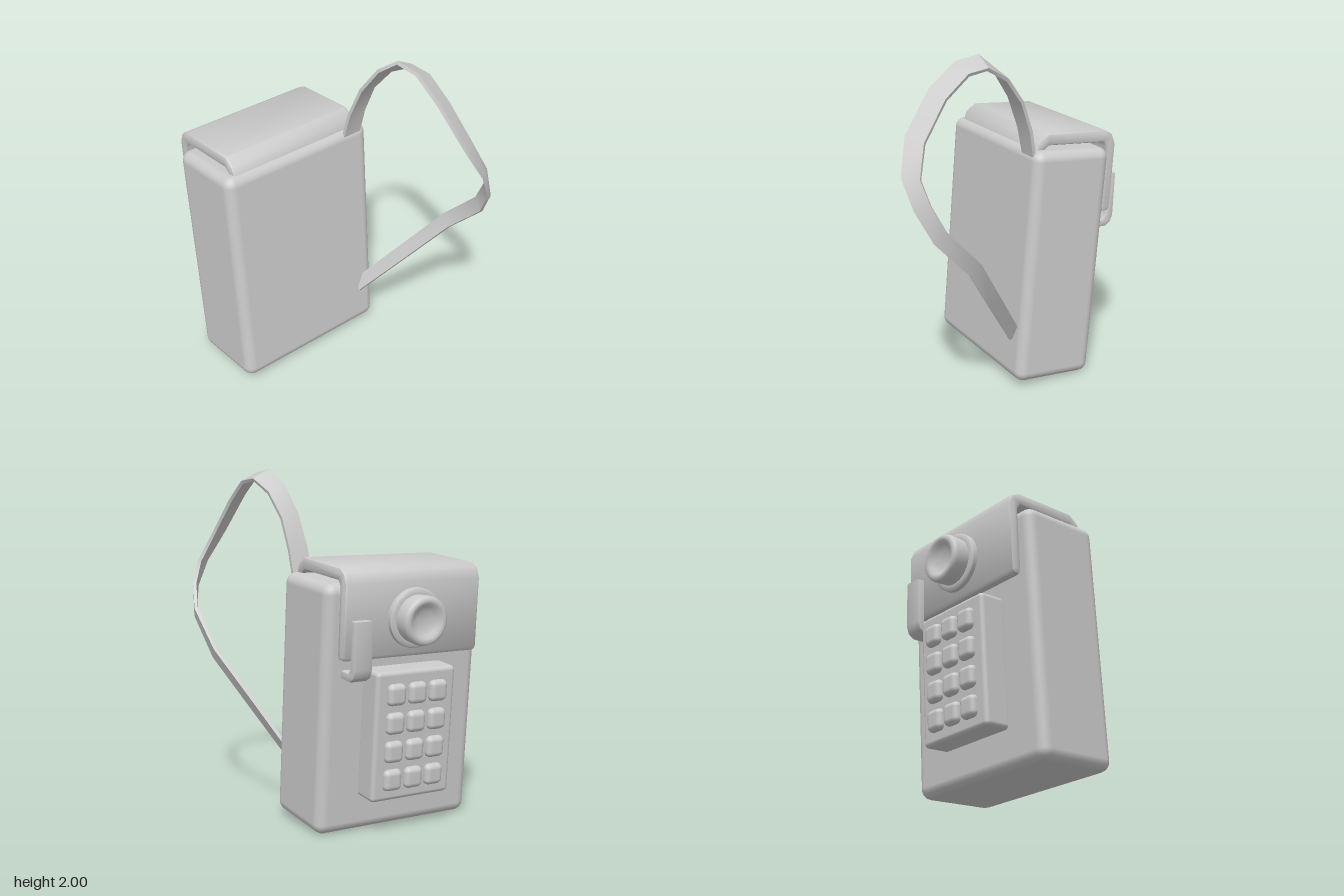
import * as THREE from 'three';
import { RoundedBoxGeometry } from 'three/addons/geometries/RoundedBoxGeometry.js';
import { toCreasedNormals } from 'three/addons/utils/BufferGeometryUtils.js';

const grey = new THREE.MeshStandardMaterial({ color: 0xcccccc, side: THREE.DoubleSide });

function add(parent, name, geometry, x = 0, y = 0, z = 0) {
  const mesh = new THREE.Mesh(geometry, grey);
  mesh.name = name;
  mesh.position.set(x, y, z);
  parent.add(mesh);
  return mesh;
}

// Side profile of [z, y] points, extruded across x with softened ends
function sideExtrude(points, width, bevel) {
  const shape = new THREE.Shape(points.map(([z, y]) => new THREE.Vector2(z, y)));
  const geo = new THREE.ExtrudeGeometry(shape, {
    depth: width - 2 * bevel, bevelThickness: bevel, bevelSize: bevel,
    bevelOffset: -bevel, bevelSegments: 2,
  });
  geo.translate(0, 0, -(width / 2 - bevel));
  geo.rotateY(-Math.PI / 2);
  return toCreasedNormals(geo, 0.75);
}

// Flat band through stations of [centre, width vector]
function band(stations, thickness) {
  const centres = stations.map(([c]) => new THREE.Vector3(...c));
  const rings = stations.map(([, w], i) => {
    const c = centres[i];
    const half = new THREE.Vector3(...w).multiplyScalar(0.5);
    const next = centres[Math.min(i + 1, centres.length - 1)];
    const tangent = next.clone().sub(centres[Math.max(i - 1, 0)]);
    const n = tangent.cross(half).setLength(thickness / 2);
    return [[1, 1], [-1, 1], [-1, -1], [1, -1]].map(([a, b]) =>
      c.clone().addScaledVector(half, a).addScaledVector(n, b));
  });
  const pos = [];
  const quad = (a, b, c, d) => [a, b, c, a, c, d].forEach((p) => pos.push(p.x, p.y, p.z));
  for (let i = 0; i + 1 < rings.length; i++) {
    for (let k = 0; k < 4; k++) {
      const m = (k + 1) % 4;
      quad(rings[i][k], rings[i][m], rings[i + 1][m], rings[i + 1][k]);
    }
  }
  const [s, e] = [rings[0], rings[rings.length - 1]];
  quad(s[3], s[2], s[1], s[0]);
  quad(e[0], e[1], e[2], e[3]);
  const geo = new THREE.BufferGeometry();
  geo.setAttribute('position', new THREE.Float32BufferAttribute(pos, 3));
  return toCreasedNormals(geo, 0.5);
}

export function createModel() {
  const model = new THREE.Group();
  model.name = 'handheldKeypadDevice';

  // Case and everything fixed to it lean backward
  const unit = new THREE.Group();
  unit.name = 'leaningUnit';
  unit.position.set(-0.125, 0.713, -0.28);
  unit.rotation.x = -0.08;
  model.add(unit);

  add(unit, 'case', new RoundedBoxGeometry(1, 1.4, 0.5, 3, 0.06));

  // Folded cover over the top and upper back
  add(unit, 'coverFlap', sideExtrude([
    [0.215, 0.69], [0.2, 0.745], [0.144, 0.79], [-0.25, 0.79], [-0.3, 0.765], [-0.325, 0.71],
    [-0.33, 0.32], [-0.315, 0.3], [-0.28, 0.3], [-0.265, 0.32], [-0.262, 0.69], [-0.24, 0.72],
    [0.13, 0.72], [0.18, 0.68],
  ], 0.87, 0.018));

  // Keypad block with a 3 x 4 grid of keys
  const keypad = new THREE.Group();
  keypad.name = 'keypad';
  unit.add(keypad);
  add(keypad, 'keypadPanel', new RoundedBoxGeometry(0.51, 0.73, 0.165, 2, 0.025), 0, -0.125, -0.3125);
  const keyGeo = new RoundedBoxGeometry(0.112, 0.12, 0.07, 3, 0.03);
  for (let row = 0; row < 4; row++) {
    for (let col = -1; col <= 1; col++) {
      add(keypad, 'key', keyGeo, col * 0.134, 0.113 - row * 0.16, -0.395);
    }
  }

  // Round dial with a flange and a dished face
  const dialProfile = [
    [0, 0], [0.165, 0], [0.165, 0.028], [0.155, 0.036], [0.132, 0.036], [0.136, 0.11],
    [0.13, 0.128], [0.115, 0.136], [0.098, 0.132], [0.08, 0.118], [0.05, 0.106], [0, 0.102],
  ].map(([r, h]) => new THREE.Vector2(r, h));
  const dialGeo = new THREE.LatheGeometry(dialProfile, 32);
  dialGeo.rotateX(-Math.PI / 2);
  add(unit, 'dial', toCreasedNormals(dialGeo, 0.8), 0, 0.514, -0.325);

  // Hooked clip beside the keypad
  add(unit, 'clip', sideExtrude([
    [-0.335, 0.52], [-0.378, 0.52], [-0.388, 0.26], [-0.375, 0.215], [-0.34, 0.19],
    [-0.245, 0.19], [-0.245, 0.235], [-0.32, 0.235], [-0.342, 0.27],
  ], 0.11, 0.008), 0.34, 0, 0);

  // Twisting carrying strap from the top edge to the lower front
  add(model, 'strap', band([
    [[0.26, 1.39, -0.1], [0.12, 0, 0]],
    [[0.27, 1.55, -0.065], [0.12, -0.01, -0.01]],
    [[0.285, 1.73, 0.005], [0.115, -0.02, -0.02]],
    [[0.31, 1.88, 0.115], [0.115, -0.04, -0.02]],
    [[0.34, 1.962, 0.24], [0.11, -0.055, 0]],
    [[0.355, 1.945, 0.37], [0.11, -0.05, -0.02]],
    [[0.37, 1.83, 0.52], [0.11, -0.04, -0.04]],
    [[0.42, 1.62, 0.68], [0.1, -0.02, -0.06]],
    [[0.5, 1.445, 0.745], [0.075, 0, -0.07]],
    [[0.565, 1.3, 0.715], [0.045, 0.025, -0.075]],
    [[0.6, 1.14, 0.635], [0.025, 0.055, -0.065]],
    [[0.575, 0.915, 0.42], [0.02, 0.06, -0.06]],
    [[0.42, 0.61, 0.205], [0.015, 0.05, -0.065]],
    [[0.265, 0.305, -0.01], [0.02, 0.05, -0.06]],
  ], 0.02));

  return model;
}
